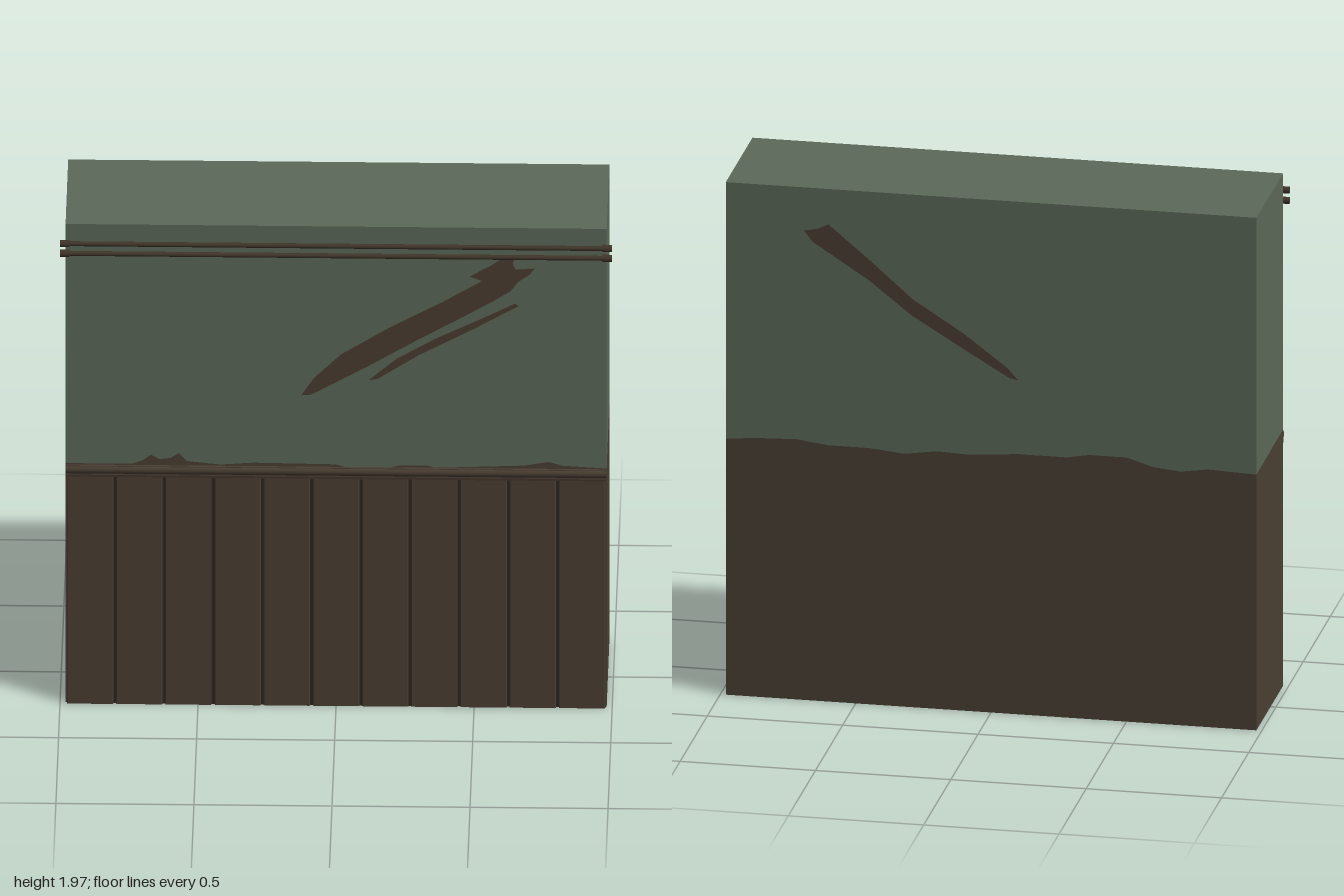
import * as THREE from 'three';

const HALF = 0.98, TOP = 1.97, BACK = -0.26, FRONT = 0.23;

export function createModel() {
  const group = new THREE.Group();
  const make = (name, color) => {
    const m = new THREE.MeshStandardMaterial({ color });
    m.name = name;
    return m;
  };
  const green = make('faded green paint', 0x5c6959);
  const brown = make('brown wood', 0x4a3f33);
  const bare = make('bare patch brown', 0x4a3d32);
  const dark = make('dark trim brown', 0x40352b);
  const groove = make('groove brown', 0x2b2520);

  const add = (name, geo, mat, x = 0, y = 0, z = 0) => {
    const mesh = new THREE.Mesh(geo, mat);
    mesh.name = name;
    mesh.position.set(x, y, z);
    group.add(mesh);
    return mesh;
  };
  const plate = (name, pts, mat, z, depth) => add(name,
    new THREE.ExtrudeGeometry(new THREE.Shape(pts.map(p => new THREE.Vector2(...p))),
      { depth, bevelEnabled: false }), mat, 0, 0, z);

  // Wall in two layers, each split along its own worn paint line
  const frontLine = [[-HALF, 0.985], [-0.74, 0.985], [-0.7, 1.0], [-0.67, 1.023], [-0.64, 1.005],
    [-0.6, 1.01], [-0.57, 1.03], [-0.54, 0.998], [-0.42, 0.985], [-0.3, 0.994], [0, 0.99],
    [0.03, 0.98], [0.2, 0.98], [0.23, 0.988], [0.33, 0.988], [0.36, 0.98], [0.5, 0.985],
    [0.68, 0.992], [0.77, 1.008], [0.82, 0.993], [HALF, 0.983]];
  const backLine = [[-HALF, 0.983], [-0.8, 0.99], [-0.7, 0.975], [-0.6, 0.985], [-0.5, 1.015],
    [-0.36, 1.015], [-0.28, 1.0], [-0.1, 1.0], [0.08, 0.985], [0.2, 0.99], [0.32, 0.972],
    [0.45, 0.985], [0.6, 0.985], [0.72, 1.0], [0.85, 0.995], [HALF, 0.985]];
  const layers = [['front', frontLine, 0, FRONT], ['back', backLine, BACK, -BACK]];
  for (const [side, line, z, depth] of layers) {
    plate(`${side} lower wall`, [[-HALF, 0], [HALF, 0], ...[...line].reverse()], brown, z, depth);
    plate(`${side} upper wall`, [...line, [HALF, TOP], [-HALF, TOP]], green, z, depth);
  }

  // Scraped paint patches
  plate('large front scrape', [[-0.125, 1.275], [-0.09, 1.278], [0, 1.33], [0.12, 1.4], [0.3, 1.51],
    [0.47, 1.61], [0.57, 1.67], [0.63, 1.71], [0.66, 1.75], [0.7, 1.78], [0.72, 1.805],
    [0.65, 1.80], [0.64, 1.822], [0.645, 1.85], [0.61, 1.85], [0.56, 1.815], [0.485, 1.77],
    [0.53, 1.752], [0.38, 1.66], [0.2, 1.56], [0.02, 1.445], [-0.08, 1.345]], bare, FRONT, 0.003);
  plate('thin front scrape', [[0.12, 1.34], [0.15, 1.345], [0.3, 1.445], [0.5, 1.555], [0.66, 1.65],
    [0.65, 1.66], [0.5, 1.582], [0.36, 1.512], [0.22, 1.428]], bare, FRONT, 0.003);
  plate('back scrape', [[-0.1, 1.285], [-0.07, 1.29], [0.1, 1.39], [0.29, 1.505], [0.45, 1.63],
    [0.66, 1.765], [0.69, 1.805], [0.64, 1.815], [0.6, 1.835], [0.45, 1.71], [0.29, 1.57],
    [0.1, 1.45], [-0.06, 1.33]], bare, BACK - 0.003, 0.004);

  // Panelling: chamfered boards with dark grooves between
  const count = 11, pitch = 2 * HALF / count;
  for (let i = 0; i < count; i++) {
    const x = -HALF + pitch * (i + 0.5), w = pitch / 2 - 0.005, c = 0.003, d = 0.01;
    const section = new THREE.Shape([[-w, 0], [w, 0], [w, -d + c], [w - c, -d], [-w + c, -d], [-w, -d + c]]
      .map(p => new THREE.Vector2(...p)));
    const board = new THREE.ExtrudeGeometry(section, { depth: 0.94, bevelEnabled: false });
    board.rotateX(-Math.PI / 2);
    add('panel board', board, brown, x, 0, FRONT);
    if (i) add('panel groove', new THREE.BoxGeometry(0.012, 0.94, 0.004), groove,
      x - pitch / 2, 0.47, FRONT + 0.001);
  }

  // Moulding along the top of the panelling
  add('moulding back strip', new THREE.BoxGeometry(2 * HALF, 0.045, 0.01), brown, 0, 0.9575, FRONT + 0.005);
  const bead = new THREE.CylinderGeometry(0.015, 0.015, 2 * HALF, 12);
  bead.rotateZ(Math.PI / 2).scale(1, 1.1, 0.8);
  add('moulding bead', bead, brown, 0, 0.963, FRONT + 0.004);
  add('moulding lower lip', new THREE.BoxGeometry(2 * HALF, 0.008, 0.013), dark, 0, 0.941, FRONT + 0.0065);

  // Twin rails with end caps and wall brackets
  for (const y of [1.9, 1.86]) {
    const rail = new THREE.CylinderGeometry(0.009, 0.009, 1.96, 12);
    rail.rotateZ(Math.PI / 2);
    add('rail', rail, dark, 0, y, 0.25);
    for (const s of [-1, 1]) {
      const cap = new THREE.CylinderGeometry(0.013, 0.013, 0.034, 12);
      cap.rotateZ(Math.PI / 2);
      add('rail end cap', cap, dark, s * 0.983, y, 0.25);
      add('rail bracket', new THREE.BoxGeometry(0.012, 0.01, 0.025), dark, s * 0.97, y, 0.24);
    }
  }
  return group;
}
